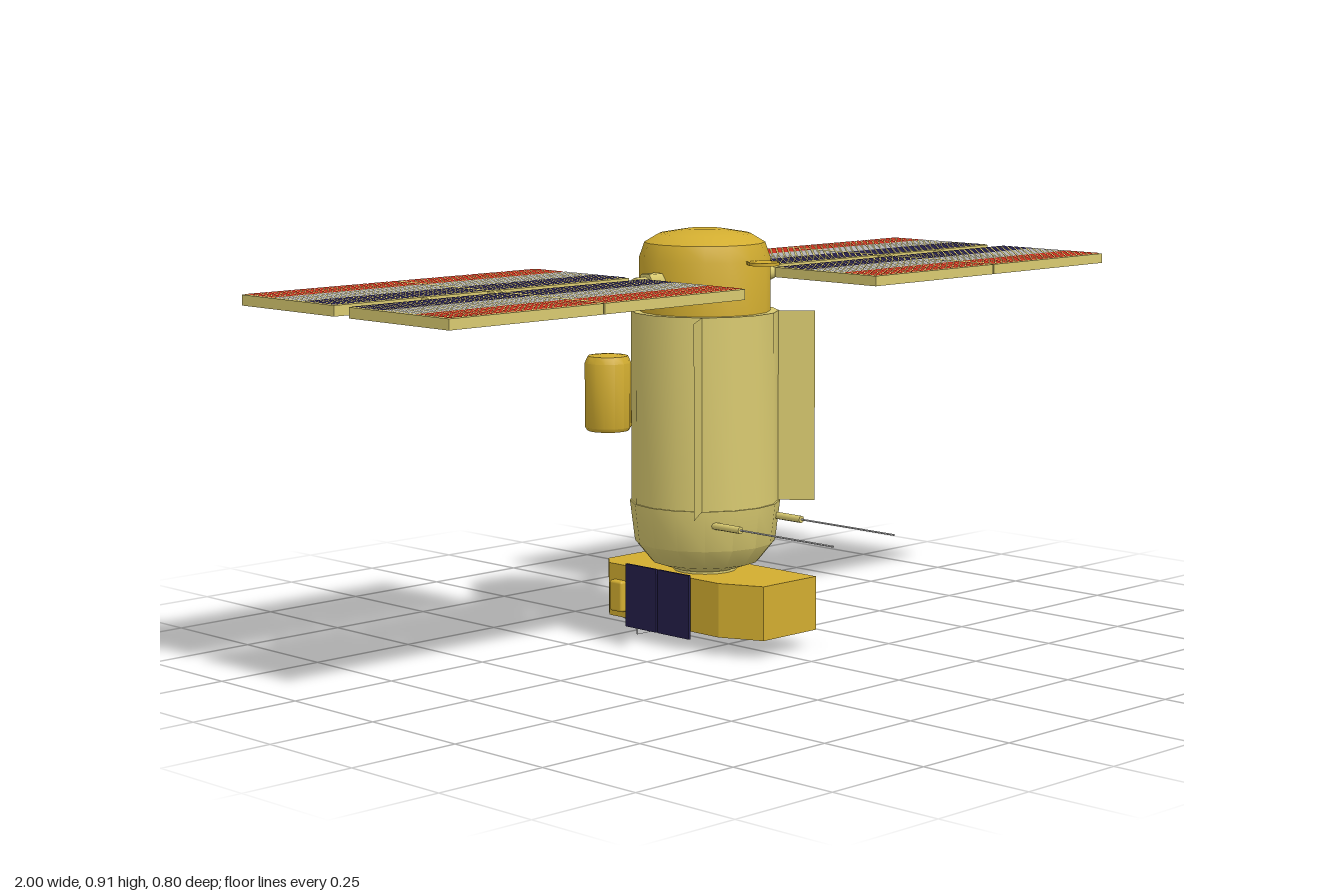
import * as THREE from 'three';
import { mergeGeometries, toCreasedNormals } from 'three/addons/utils/BufferGeometryUtils.js';
import { RoundedBoxGeometry } from 'three/addons/geometries/RoundedBoxGeometry.js';

const paint = (color, side = THREE.FrontSide) => new THREE.MeshStandardMaterial({ color, side });

export function createModel() {
  const model = new THREE.Group();
  const cream = paint(0xd9ca70), gold = paint(0xd2ad30), navy = paint(0x241f4a);
  const red = paint(0xcc2f1c), silver = paint(0xb4b4b4), grey = paint(0xcccccc);
  const creamThin = paint(0xd9ca70, THREE.DoubleSide);
  const axisZ = -0.073;

  const add = (name, geo, mat, x = 0, y = 0, z = 0, parent = model) => {
    const mesh = new THREE.Mesh(geo, mat);
    mesh.name = name;
    mesh.position.set(x, y, z);
    parent.add(mesh);
    return mesh;
  };
  const lathe = (pts, sides) => toCreasedNormals(
    new THREE.LatheGeometry(pts.map(([r, y]) => new THREE.Vector2(r, y)), sides), 0.6);
  const rod = (r, length, axis, sides = 8) => {
    const g = new THREE.CylinderGeometry(r, r, length, sides);
    return axis === 'x' ? g.rotateZ(Math.PI / 2) : axis === 'z' ? g.rotateX(Math.PI / 2) : g;
  };

  // Main hull with its tapered lower bowl, and the domed head
  add('hull', lathe([[0, 0.31], [0.162, 0.31], [0.162, 0.735], [0, 0.735]], 16), cream, 0, 0, axisZ);
  add('lowerBowl', lathe([[0, 0.15], [0.07, 0.15], [0.07, 0.165], [0.12, 0.182], [0.155, 0.225],
    [0.166, 0.315], [0, 0.315]], 16), cream, 0, 0, axisZ);
  add('head', lathe([[0, 0.72], [0.144, 0.72], [0.144, 0.85], [0.132, 0.885], [0.1, 0.904],
    [0.04, 0.914], [0, 0.914]], 16), gold, 0, 0, axisZ);
  add('headDisc', new THREE.CylinderGeometry(0.035, 0.035, 0.007, 10), gold, 0, 0.848, 0.105);
  add('headDiscArm', new THREE.BoxGeometry(0.03, 0.006, 0.06), gold, 0, 0.848, 0.06);

  // Radial fins on the front of the hull: a wide one and a narrow one
  const fin = (name, x0, z0, x1, z1) => {
    const g = new THREE.PlaneGeometry(Math.hypot(x1 - x0, z1 - z0), 0.42);
    add(name, g, creamThin, (x0 + x1) / 2, 0.525, (z0 + z1) / 2)
      .rotation.y = -Math.atan2(z1 - z0, x1 - x0);
  };
  fin('wideFin', -0.11, 0.03, -0.212, 0.106);
  fin('narrowFin', 0.108, 0.042, 0.162, 0.106);

  // Side hatch and rear tank
  add('sideHatch', new RoundedBoxGeometry(0.03, 0.11, 0.062, 2, 0.007), gold, 0.148, 0.545, -0.015)
    .rotation.y = -0.36;
  add('rearTank', lathe([[0, 0.47], [0.046, 0.47], [0.051, 0.478], [0.051, 0.62], [0.044, 0.635],
    [0, 0.64]], 14), gold, -0.15, 0, -0.224);

  // Forward antennas
  for (const s of [-1, 1]) {
    add('antennaSocket', rod(0.008, 0.1, 'z'), cream, s * 0.095, 0.283, 0.08);
    add('antennaRod', rod(0.002, 0.27, 'z', 6), grey, s * 0.095, 0.283, 0.265);
  }

  // Base block: solid above, hollow rim below
  const outline = [[0.105, 0.165], [-0.06, 0.165], [-0.102, 0.07], [-0.102, -0.275],
    [-0.066, -0.315], [0.105, -0.315]].map(([x, z]) => new THREE.Vector2(x, z));
  const slab = (shape, y0, y1) => new THREE.ExtrudeGeometry(shape, { depth: y1 - y0, bevelEnabled: false })
    .rotateX(Math.PI / 2).translate(0, y1, 0);
  const rim = new THREE.Shape(outline);
  rim.holes.push(new THREE.Path(outline.map(p =>
    new THREE.Vector2(p.x * 0.87, (p.y + 0.075) * 0.94 - 0.075))));
  add('baseBlock', slab(new THREE.Shape(outline), 0.055, 0.16), gold);
  add('baseRim', slab(rim, 0.041, 0.055), gold);
  const floor = outline.map(p => new THREE.Vector2(p.x * 0.87, (p.y + 0.075) * 0.94 - 0.075));
  add('baseFloor', slab(new THREE.Shape(floor), 0.05, 0.056), grey);

  // Studs, plate and dish on the underside
  const stud = new THREE.CylinderGeometry(0.011, 0.008, 0.016, 10);
  for (let row = 0; row < 5; row++) {
    const count = 5 - Math.abs(row - 2);
    for (let i = 0; i < count; i++)
      add('undersideStud', stud, grey, (i - (count - 1) / 2) * 0.027, 0.045, 0.062 + (row - 2) * 0.024);
  }
  add('undersidePlate', new THREE.BoxGeometry(0.146, 0.055, 0.003), grey, 0, 0.0275, -0.216);
  add('undersideDish', new THREE.SphereGeometry(0.032, 14, 10).scale(1, 0.8, 1), grey, 0.035, 0.048, -0.267);
  add('undersideDrum', rod(0.02, 0.05, 'x', 12), grey, -0.035, 0.045, -0.265);

  // Dark side panels and small box on the -x face
  for (const z of [-0.058, -0.16])
    add('baseSidePanel', new THREE.BoxGeometry(0.006, 0.142, 0.097), navy, -0.112, 0.097, z);
  add('baseSideBox', new RoundedBoxGeometry(0.025, 0.07, 0.04, 2, 0.006), gold, -0.105, 0.09, -0.24);

  // Solar wings: four framed panels a side, each with three bands of cells
  const bands = (direction) => [navy, silver, red].map((mat, b) => {
    const cells = [];
    for (let i = 0; i < 20; i++)
      for (let j = 0; j < 5; j++)
        cells.push(new THREE.PlaneGeometry(0.0176, 0.0176).rotateX(-Math.PI / 2)
          .translate((i - 9.5) * 0.0196, 0, direction * (-0.1475 + 0.0985 * (b + (j + 0.5) / 5))));
    return { mat, geo: mergeGeometries(cells) };
  });
  const frame = new THREE.BoxGeometry(0.396, 0.022, 0.3);
  for (const d of [-1, 1]) {
    const cellBands = bands(d);
    const z = -0.0765 + d * 0.1735;
    for (const x of [-0.8, -0.4, 0.4, 0.8]) {
      const panel = new THREE.Group();
      panel.name = 'solarPanel';
      panel.position.set(x, 0.806, z);
      model.add(panel);
      add('panelFrame', frame, cream, 0, 0, 0, panel);
      for (const { mat, geo } of cellBands) add('solarCells', geo, mat, 0, 0.0122, 0, panel);
    }
  }

  // Wing booms with hubs and collars
  for (const s of [-1, 1]) {
    add('wingBoom', rod(0.009, 0.65, 'x'), cream, s * 0.465, 0.804, axisZ);
    add('wingHub', rod(0.025, 0.04, 'x', 6), cream, s * 0.16, 0.804, axisZ);
    add('wingHubNeck', rod(0.016, 0.04, 'x', 8), cream, s * 0.19, 0.804, axisZ);
    for (const x of [0.59, 0.61, 0.785])
      add('boomCollar', rod(0.018, 0.009, 'x', 8), cream, s * x, 0.804, axisZ);
  }
  return model;
}
